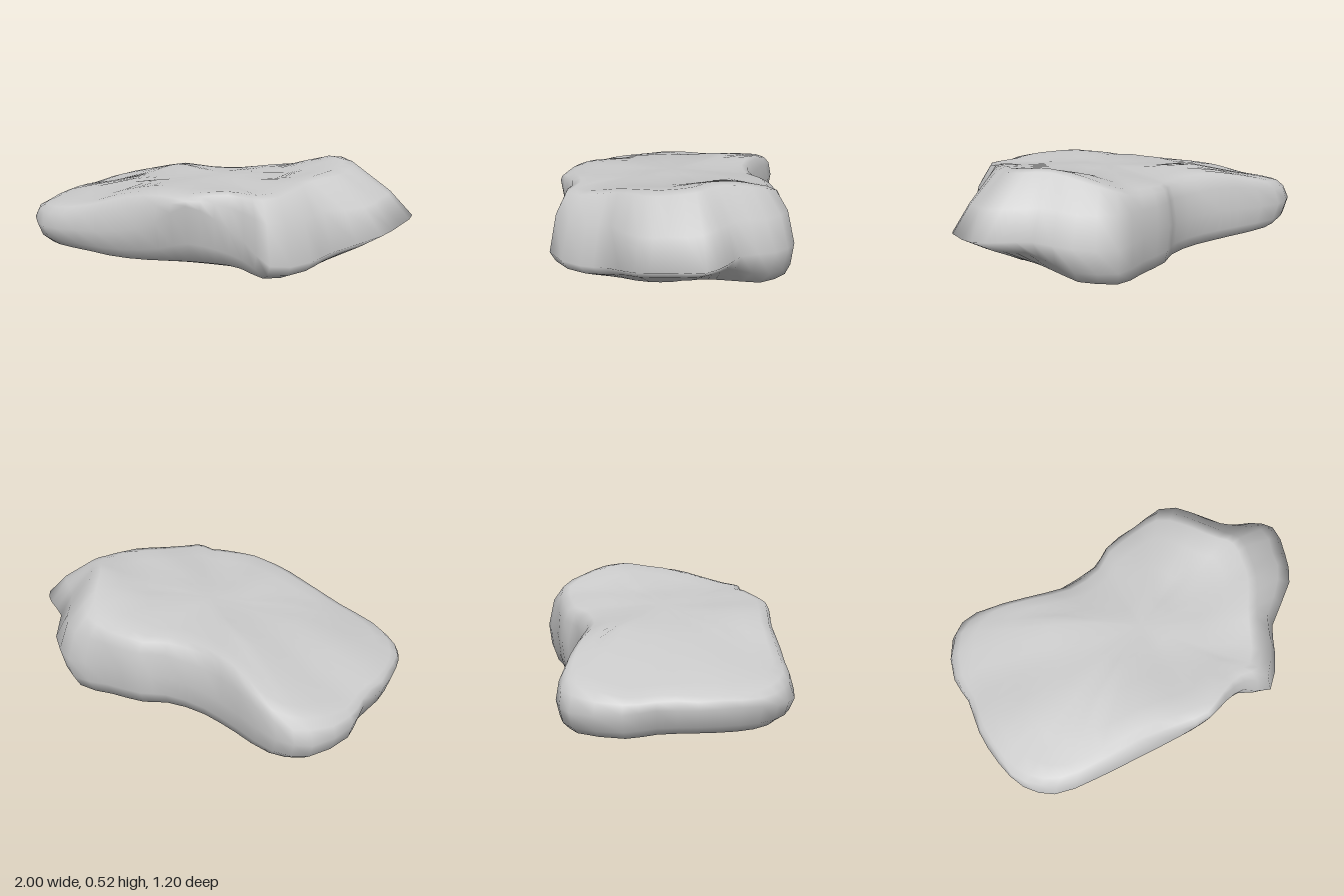
import * as THREE from 'three';
import { mergeVertices } from 'three/addons/utils/BufferGeometryUtils.js';

// Plan outline of the rock: x, z, height of the widest edge, top-rim scale, bottom-rim scale
const outline = [
  [1.0, -0.17, 0.25, 0.7, 0.62], [0.97, 0.0, 0.235, 0.71, 0.62],
  [0.9, 0.15, 0.205, 0.73, 0.66], [0.69, 0.3, 0.14, 0.82, 0.8],
  [0.62, 0.43, 0.12, 0.82, 0.85], [0.47, 0.6, 0.13, 0.86, 0.88],
  [0.32, 0.54, 0.22, 0.93, 0.9], [0.18, 0.56, 0.32, 0.95, 0.89],
  [0.05, 0.6, 0.38, 0.96, 0.87], [-0.12, 0.585, 0.28, 0.94, 0.88],
  [-0.35, 0.555, 0.21, 0.91, 0.9], [-0.6, 0.53, 0.19, 0.91, 0.9],
  [-0.82, 0.485, 0.18, 0.92, 0.91], [-0.94, 0.37, 0.2, 0.94, 0.93],
  [-0.99, 0.2, 0.22, 0.96, 0.93], [-1.0, 0.0, 0.22, 0.96, 0.93],
  [-0.97, -0.18, 0.22, 0.96, 0.93], [-0.98, -0.33, 0.21, 0.95, 0.94],
  [-0.88, -0.55, 0.2, 0.93, 0.93], [-0.72, -0.6, 0.2, 0.92, 0.92],
  [-0.48, -0.53, 0.2, 0.9, 0.92], [-0.25, -0.47, 0.2, 0.88, 0.93],
  [-0.02, -0.48, 0.21, 0.9, 0.94], [0.1, -0.54, 0.22, 0.92, 0.94],
  [0.3, -0.565, 0.22, 0.92, 0.94], [0.5, -0.6, 0.2, 0.85, 0.94],
  [0.68, -0.49, 0.22, 0.78, 0.88], [0.78, -0.33, 0.24, 0.77, 0.8],
  [0.91, -0.26, 0.25, 0.71, 0.69],
];

const { lerp, smoothstep } = THREE.MathUtils;

// Linear lookup in a short list of [x, y] points
function profile(points, x) {
  if (x <= points[0][0]) return points[0][1];
  for (let i = 1; i < points.length; i++) {
    const [x0, y0] = points[i - 1], [x1, y1] = points[i];
    if (x <= x1) return lerp(y0, y1, (x - x0) / (x1 - x0));
  }
  return points[points.length - 1][1];
}

const bumps = (x, z, p) =>
  0.005 * Math.sin(9 * x + 5 * z + p) + 0.005 * Math.sin(13 * z - 7 * x + 2 * p);

// Upper face: low at the left end, rising to a hump at the back right
function topY(x, z) {
  const base = profile([[-1, 0.28], [-0.9, 0.3], [-0.7, 0.335], [-0.38, 0.415], [0, 0.425],
    [0.3, 0.45], [0.5, 0.515], [0.6, 0.535], [0.75, 0.525]], x);
  const leftTilt = smoothstep(-x, 0.1, 0.5) * 0.1 * Math.max(0, z - 0.1);
  const rightTilt = smoothstep(x, 0.2, 0.55) * 0.12 * Math.max(0, z + 0.2);
  const backDrop = smoothstep(x, -0.6, -0.2) * 0.15 * Math.max(0, -0.3 - z);
  return base - leftTilt - rightTilt - backDrop + bumps(x, z, 1);
}

// Underside: nearly flat, lifting at both ends and along the middle of the front edge
function bottomY(x, z) {
  const base = profile([[-1, 0.08], [-0.85, 0.065], [-0.4, 0.04], [0, 0.015], [0.35, 0.015],
    [0.6, 0.025], [0.7, 0.1]], x);
  const frontLift = profile([[-0.4, 0.06], [0, 0.22], [0.25, 0.22], [0.45, 0.06]], x);
  return base + Math.max(0, z - 0.25) * frontLift + bumps(x, z, 4) * 0.6;
}

// Resample the outline columns with a closed smooth curve
function sampleOutline(count) {
  const place = new THREE.CatmullRomCurve3(
    outline.map(([x, z, y]) => new THREE.Vector3(x, y, z)), true, 'centripetal');
  const n = outline.length;
  return Array.from({ length: count }, (_, i) => {
    const t = i / count, k = Math.floor(t * n), f = t * n - k;
    const a = outline[k], b = outline[(k + 1) % n];
    const p = place.getPoint(t);
    return { x: p.x, z: p.z, mid: p.y, top: lerp(a[3], b[3], f), bottom: lerp(a[4], b[4], f) };
  });
}

// Rings run from the centre of the underside, round the edge, to the centre of the top
function ringPoint(s, ring) {
  const at = (scale, y) => [s.x * scale, y, s.z * scale];
  const rimTop = topY(s.x * s.top, s.z * s.top) - 0.012;
  const rimBottom = bottomY(s.x * s.bottom, s.z * s.bottom) + 0.008;
  const steepTop = smoothstep(s.top, 0.74, 0.88);
  const steepBottom = smoothstep(s.bottom, 0.74, 0.88);
  if (ring.face === 'bottom') {
    const k = s.bottom * ring.k;
    return at(k, ring.k === 1 ? rimBottom : bottomY(s.x * k, s.z * k));
  }
  if (ring.face === 'top') {
    const k = s.top * ring.k;
    return at(k, ring.k === 1 ? rimTop : topY(s.x * k, s.z * k));
  }
  if (ring.face === 'lower') {
    return at(lerp(s.bottom, 1, 0.65), lerp(rimBottom, s.mid, lerp(0.62, 0.35, steepBottom)));
  }
  if (ring.face === 'upper') {
    return at(lerp(1, s.top, 0.4) + bumps(s.x * 2, s.z * 2, 3),
      lerp(s.mid, rimTop, lerp(0.48, 0.66, steepTop)));
  }
  return at(1, s.mid);
}

function rockGeometry() {
  const rings = [
    ...[0, 0.3, 0.6, 0.85, 1].map((k) => ({ face: 'bottom', k })),
    { face: 'lower' }, { face: 'edge' }, { face: 'upper' },
    ...[1, 0.92, 0.75, 0.5, 0.25, 0].map((k) => ({ face: 'top', k })),
  ];
  const count = 58;
  const stations = sampleOutline(count);
  const positions = rings.flatMap((r) => stations.flatMap((s) => ringPoint(s, r)));
  const index = [];
  for (let r = 0; r < rings.length - 1; r++) {
    for (let i = 0; i < count; i++) {
      const j = (i + 1) % count;
      const a = r * count + i, b = r * count + j, c = a + count, d = b + count;
      // The first and last bands close to a point
      if (r === 0) index.push(a, c, d);
      else if (r === rings.length - 2) index.push(a, c, b);
      else index.push(a, c, d, a, d, b);
    }
  }
  let geometry = new THREE.BufferGeometry();
  geometry.setAttribute('position', new THREE.Float32BufferAttribute(positions, 3));
  geometry.setIndex(index);
  geometry = mergeVertices(geometry, 1e-5);

  // Stand on the ground, centred
  geometry.computeBoundingBox();
  const { min, max } = geometry.boundingBox;
  geometry.translate(-(min.x + max.x) / 2, -min.y, -(min.z + max.z) / 2);
  geometry.computeVertexNormals();
  return geometry;
}

export function createModel() {
  const group = new THREE.Group();
  group.name = 'rock';
  const stone = new THREE.Mesh(rockGeometry(), new THREE.MeshStandardMaterial({ color: 0xcccccc }));
  stone.name = 'boulder';
  group.add(stone);
  return group;
}
